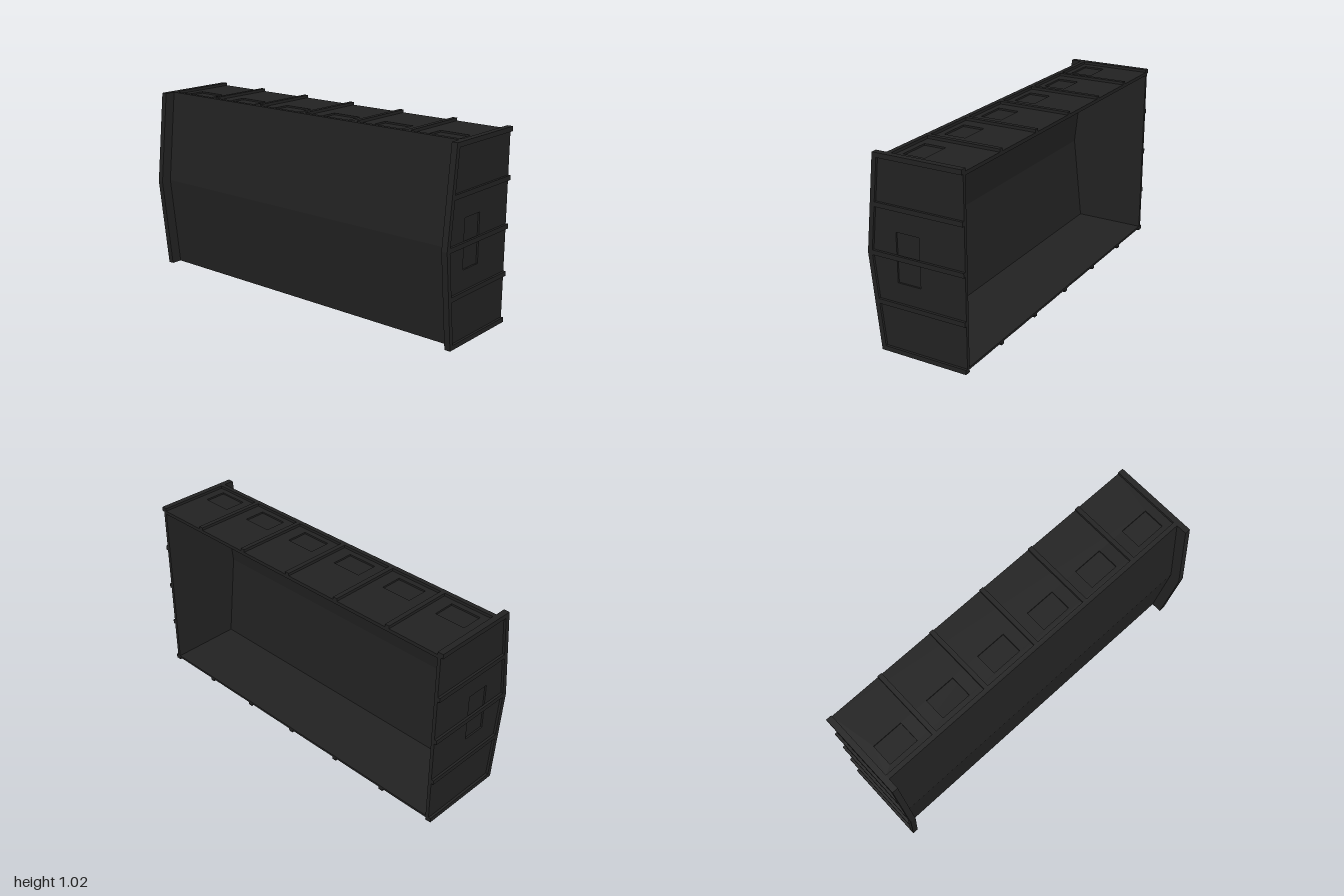
import * as THREE from 'three';

const H = 1.02, MID = 0.51, BACK = -0.27;
const dark = new THREE.MeshStandardMaterial({ color: 0x222222, side: THREE.DoubleSide });
const pale = new THREE.MeshStandardMaterial({ color: 0xcccccc });

function add(parent, name, geometry, material = dark) {
  const mesh = new THREE.Mesh(geometry, material);
  mesh.name = name;
  parent.add(mesh);
  return mesh;
}

// box given by its limits
function block(x0, x1, y0, y1, z0, z1) {
  return new THREE.BoxGeometry(x1 - x0, y1 - y0, z1 - z0)
    .translate((x0 + x1) / 2, (y0 + y1) / 2, (z0 + z1) / 2);
}

function polygon(points) {
  return new THREE.Shape(points.map(([a, b]) => new THREE.Vector2(a, b)));
}

function rectHole(a0, a1, b0, b1) {
  return new THREE.Path([[a0, b0], [a0, b1], [a1, b1], [a1, b0]].map(p => new THREE.Vector2(...p)));
}

// (z, y) outline extruded along x from x0 to x1
function alongX(shape, x0, x1) {
  return new THREE.ExtrudeGeometry(shape, { depth: x1 - x0, bevelEnabled: false })
    .rotateY(-Math.PI / 2).translate(x1, 0, 0);
}

// pointed end outline
const capShape = () => polygon([[BACK, 0], [0.215, 0], [0.27, MID], [0.215, H], [BACK, H]]);

function createCap(side) {
  const cap = new THREE.Group();
  cap.name = side > 0 ? 'leftCap' : 'rightCap';
  const mirror = (x0, x1) => side > 0 ? [x0, x1] : [-x1, -x0];
  add(cap, 'capPlate', alongX(capShape(), ...mirror(0.968, 0.978)));

  // outer skin with a shallow recess in the middle
  const skin = capShape();
  skin.holes.push(rectHole(-0.02, 0.11, 0.38, 0.64));
  add(cap, 'capSkin', alongX(skin, ...mirror(0.978, 0.987)));

  // raised front border and crossbars
  const border = polygon([[0.19, 0], [0.215, 0], [0.27, MID], [0.215, H], [0.19, H], [0.245, MID]]);
  add(cap, 'capBorder', alongX(border, ...mirror(0.987, 1)));
  for (const y of [0, 0.25, 0.5, 0.75, H - 0.025]) {
    const front = 0.2 + 0.05 * (1 - Math.abs(y + 0.0125 - MID) / MID);
    add(cap, 'capRib', block(...mirror(0.987, 1), y, y + 0.025, BACK, front));
  }
  return cap;
}

export function createModel() {
  const model = new THREE.Group();
  model.name = 'openBackedHousing';

  // shell open to the back, with a creased front and a lip along its edges
  const shell = polygon([
    [BACK, 0.015], [0.13, 0.015], [0.13, 0], [0.155, 0], [0.21, MID], [0.155, H], [0.13, H],
    [0.13, 0.996], [BACK, 0.996], [BACK, 0.986], [0.135, 0.986], [0.188, MID], [0.135, 0.027], [BACK, 0.027],
  ]);
  add(model, 'shell', alongX(shell, -0.97, 0.97));

  // top skin with one shallow recess per bay
  const topSkin = polygon([[-0.97, BACK], [0.97, BACK], [0.97, 0.13], [-0.97, 0.13]]);
  const bays = [0, 1, 2, 3, 4, 5].map(i => (i - 2.5) / 3);
  for (const x of bays) topSkin.holes.push(rectHole(x - 0.085, x + 0.085, -0.02, 0.1));
  add(model, 'topSkin', new THREE.ExtrudeGeometry(topSkin, { depth: 0.009, bevelEnabled: false })
    .rotateX(Math.PI / 2).translate(0, 1.005, 0));

  // ribs between the bays, above and below
  for (let i = -2; i <= 2; i++) {
    const x = i / 3;
    add(model, 'topRib', block(x - 0.0125, x + 0.0125, 1.0, H, BACK, 0.135));
    add(model, 'bottomRib', block(x - 0.0125, x + 0.0125, 0, 0.02, BACK, 0.135));
  }

  // pale panels under each bay
  for (const x of bays) {
    add(model, 'bottomPanel', block(x - 0.068, x + 0.068, 0.012, 0.02, BACK + 0.002, -0.12), pale);
  }

  for (const side of [-1, 1]) model.add(createCap(side));
  return model;
}
